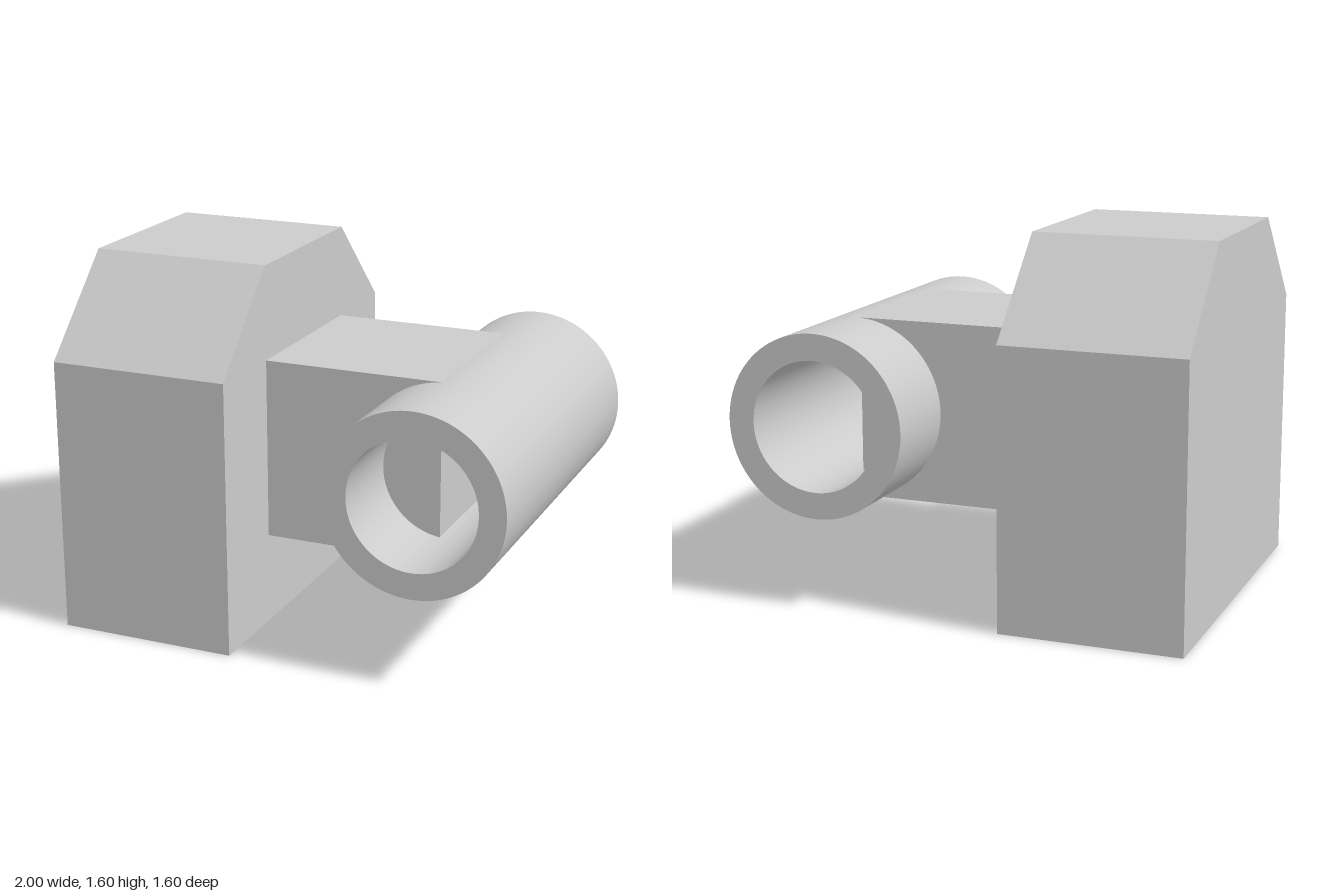
import * as THREE from 'three';
import { toCreasedNormals } from 'three/addons/utils/BufferGeometryUtils.js';

export function createModel() {
  const model = new THREE.Group();
  model.name = 'tubeBracket';
  const material = new THREE.MeshStandardMaterial({ color: 0xcccccc });

  const addPart = (name, geometry, x, y, z) => {
    const mesh = new THREE.Mesh(geometry, material);
    mesh.name = name;
    mesh.position.set(x, y, z);
    model.add(mesh);
  };

  // Upright block with two chamfered top edges, extruded along x
  const profile = new THREE.Shape([
    [-0.8, 0], [0.8, 0], [0.8, 1.2], [0.4, 1.6], [-0.4, 1.6], [-0.8, 1.2],
  ].map(([u, v]) => new THREE.Vector2(u, v)));
  const block = new THREE.ExtrudeGeometry(profile, { depth: 0.79, bevelEnabled: false });
  block.rotateY(Math.PI / 2);
  addPart('chamferedBlock', block, -1, 0, 0);

  // Square arm reaching into the bore of the tube
  addPart('connectingArm', new THREE.BoxGeometry(0.79, 0.79, 0.79), 0.185, 0.795, 0.005);

  // Hollow tube running front to back
  const ring = new THREE.Shape().absarc(0, 0, 0.395, 0, Math.PI * 2, false);
  ring.holes.push(new THREE.Path().absarc(0, 0, 0.281, 0, Math.PI * 2, true));
  const tube = new THREE.ExtrudeGeometry(ring, { depth: 1.6, bevelEnabled: false, curveSegments: 48 });
  addPart('hollowTube', toCreasedNormals(tube, 0.6), 0.605, 0.795, -0.8);

  return model;
}
